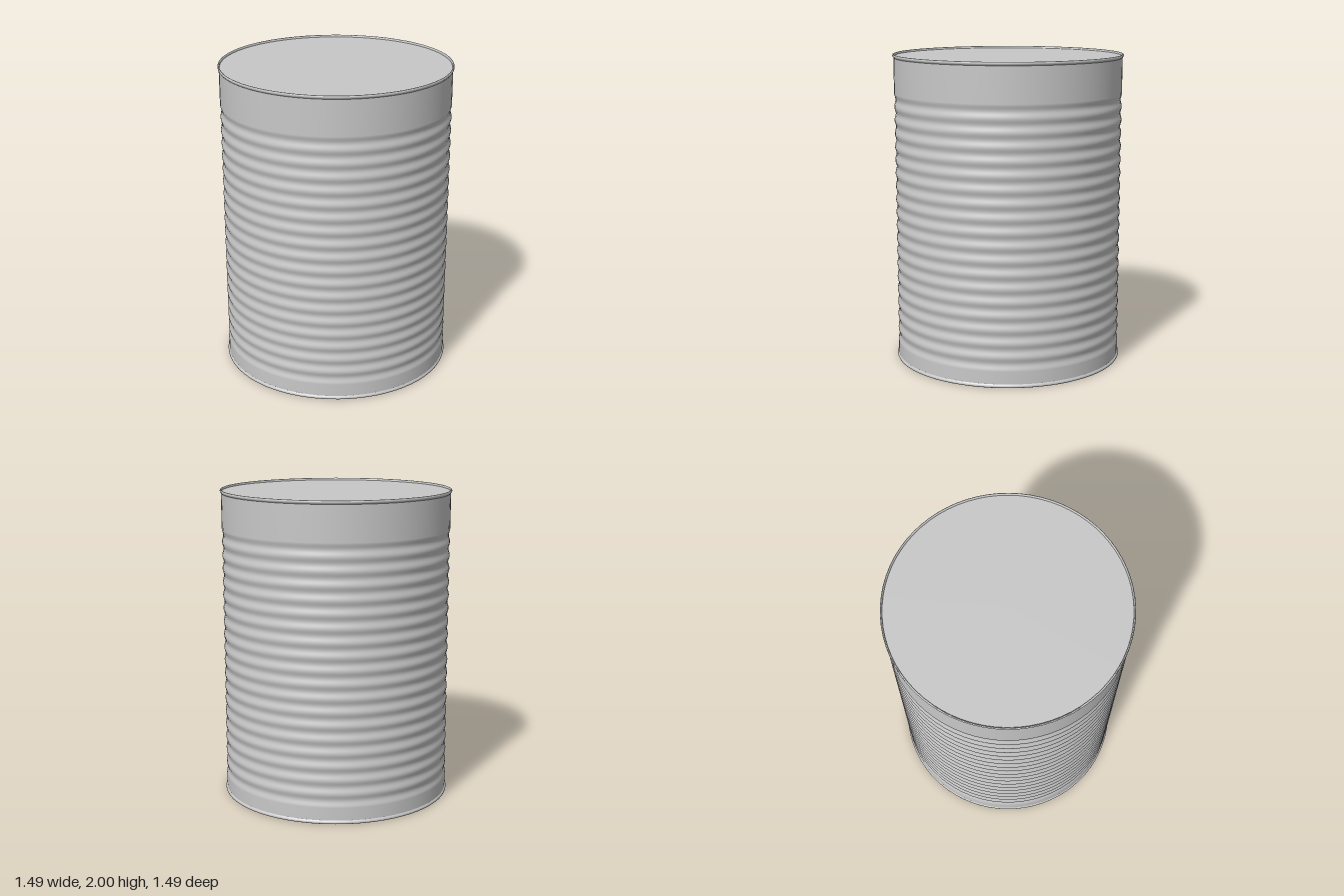
import * as THREE from 'three';

const SEGMENTS = 72;
const BODY_R = 0.736, RIM_R = 0.743, INNER_R = 0.731;
const RIB_TOP = 1.752, RIB_PITCH = 0.0867, RIB_COUNT = 19, RIB_DEPTH = 0.009;

export function createModel() {
  const can = new THREE.Group();
  can.name = 'tinCan';
  const steel = new THREE.MeshStandardMaterial({ color: 0xc8c8c8 });
  steel.name = 'steel';

  // Revolves a profile of [radius, height] pairs, listed so the surface faces outward
  function lathe(name, profile) {
    const points = profile.map(([r, y]) => new THREE.Vector2(r, y));
    const mesh = new THREE.Mesh(new THREE.LatheGeometry(points, SEGMENTS), steel);
    mesh.name = name;
    can.add(mesh);
  }

  // Side wall: plain bands at both ends, evenly spaced rounded grooves between
  const wall = [[BODY_R, 0.02]];
  const steps = RIB_COUNT * 10;
  const ribBottom = RIB_TOP - RIB_COUNT * RIB_PITCH;
  for (let i = 0; i <= steps; i++) {
    const phase = (i / 10) * Math.PI * 2;
    wall.push([BODY_R - RIB_DEPTH * (1 - Math.cos(phase)) / 2, ribBottom + (i / 10) * RIB_PITCH]);
  }
  wall.push([BODY_R, 1.98]);
  lathe('ribbedWall', wall);

  // Rolled seams
  lathe('bottomRim', [
    [INNER_R, 0.012], [INNER_R + 0.001, 0.004], [0.737, 0], [0.741, 0.002],
    [RIM_R, 0.007], [RIM_R, 0.012], [0.741, 0.017], [BODY_R, 0.023],
  ]);
  lathe('topRim', [
    [BODY_R, 1.977], [0.741, 1.983], [RIM_R, 1.988], [RIM_R, 1.993],
    [0.741, 1.998], [0.737, 2], [INNER_R + 0.001, 1.996], [INNER_R, 1.985],
  ]);

  // Flat ends, set slightly inside the rims
  for (const [name, y, turn] of [['lid', 1.986, -1], ['base', 0.011, 1]]) {
    const disc = new THREE.Mesh(new THREE.CircleGeometry(INNER_R + 0.001, SEGMENTS), steel);
    disc.name = name;
    disc.rotation.x = turn * Math.PI / 2;
    disc.position.y = y;
    can.add(disc);
  }
  return can;
}
